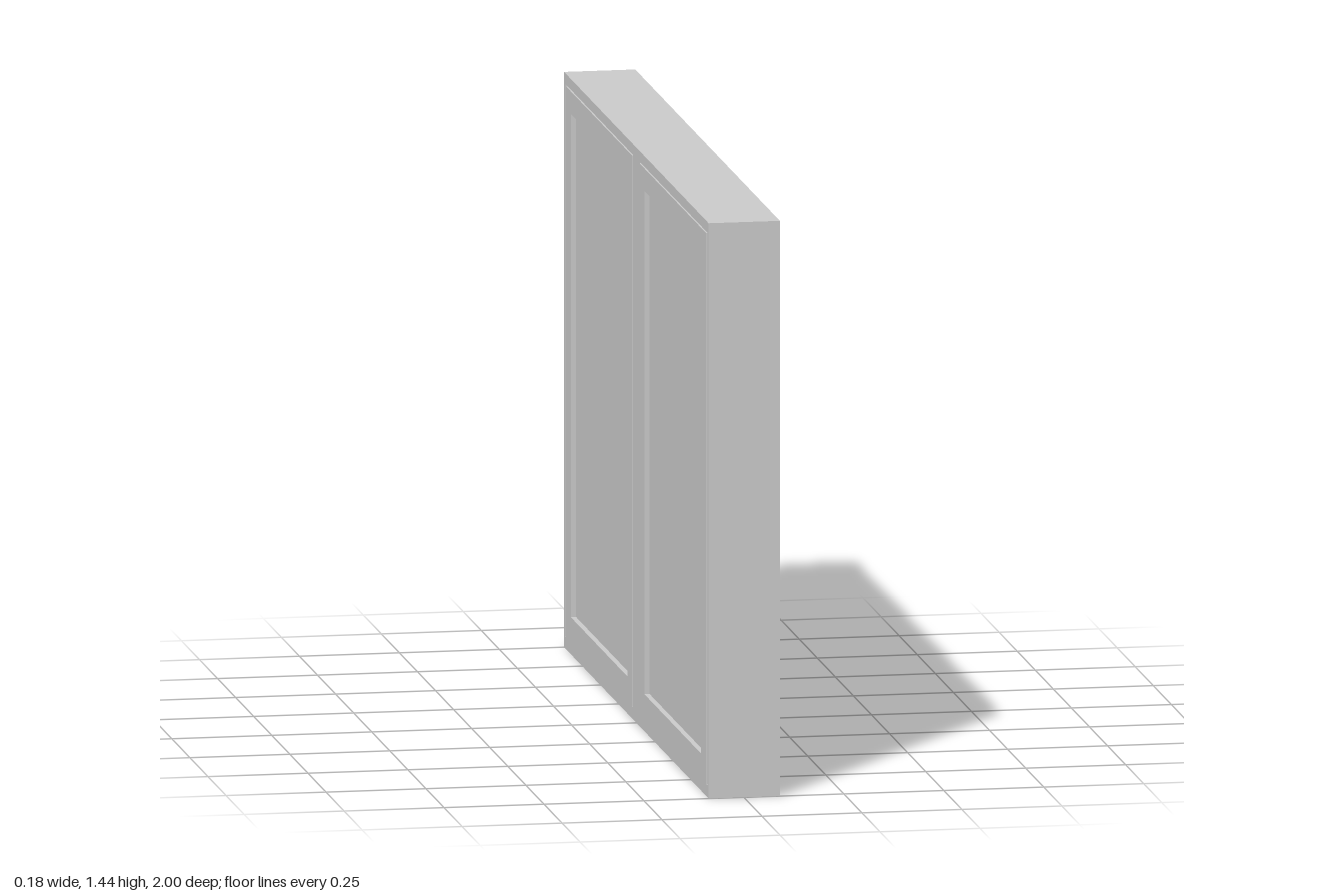
import * as THREE from 'three';

const material = new THREE.MeshStandardMaterial({ color: 0xcccccc, flatShading: true });

function add(parent, name, geometry) {
  const mesh = new THREE.Mesh(geometry, material);
  mesh.name = name;
  parent.add(mesh);
  return mesh;
}

// Box given by its extents on each axis
function box(parent, name, [x0, x1], [y0, y1], [z0, z1]) {
  const mesh = add(parent, name, new THREE.BoxGeometry(x1 - x0, y1 - y0, z1 - z0));
  mesh.position.set((x0 + x1) / 2, (y0 + y1) / 2, (z0 + z1) / 2);
}

function rectangle(path, [y0, y1], [z0, z1]) {
  return path.moveTo(-z1, y0).lineTo(-z0, y0).lineTo(-z0, y1).lineTo(-z1, y1).closePath();
}

// Rectangular ring in the y-z plane, extruded along x
function ring(parent, name, [x0, x1], y, z, holeY, holeZ) {
  const shape = rectangle(new THREE.Shape(), y, z);
  shape.holes.push(rectangle(new THREE.Path(), holeY, holeZ));
  const geometry = new THREE.ExtrudeGeometry(shape, { depth: x1 - x0, bevelEnabled: false });
  geometry.rotateY(Math.PI / 2).translate(x0, 0, 0);
  add(parent, name, geometry);
}

export function createModel() {
  const window = new THREE.Group();
  window.name = 'window';

  // Deep outer casing and the post between the two sashes
  ring(window, 'outerFrame', [-0.088, 0.09], [0, 1.442], [-1, 1], [0.03, 1.415], [-0.984, 0.984]);
  box(window, 'centrePost', [-0.088, -0.057], [0.03, 1.415], [-0.049, 0.053]);

  // Each sash: z extents, glass extents, handle centre and hinge position
  const sashes = [
    { name: 'leftSash', z: [0.054, 0.975], glass: [0.12, 0.907], handle: 0.094, hinge: 0.979 },
    { name: 'rightSash', z: [-0.961, -0.05], glass: [-0.895, -0.115], handle: -0.083, hinge: -0.976 },
  ];
  for (const { name, z, glass, handle, hinge } of sashes) {
    const sash = new THREE.Group();
    sash.name = name;
    window.add(sash);
    const glassY = [0.095, 1.356];
    ring(sash, 'sashFrame', [-0.09, -0.055], [0.032, 1.413], z, glassY, glass);
    box(sash, 'pane', [-0.077, -0.068], glassY, glass);

    // Handle: backing plate, stem reaching inward, lever hanging down
    const around = (half) => [handle - half, handle + half];
    const grip = new THREE.Group();
    grip.name = 'handle';
    sash.add(grip);
    box(grip, 'handlePlate', [-0.056, -0.047], [0.66, 0.787], around(0.018));
    box(grip, 'handleStem', [-0.048, 0], [0.703, 0.733], around(0.0105));
    box(grip, 'handleLever', [-0.002, 0.03], [0.58, 0.733], around(0.0115));

    // Hinge pins in the gap beside the casing
    for (const y of [0.077, 1.362]) {
      const pin = add(sash, 'hinge', new THREE.CylinderGeometry(0.007, 0.007, 0.09, 12));
      pin.position.set(-0.056, y, hinge);
    }
  }
  return window;
}
